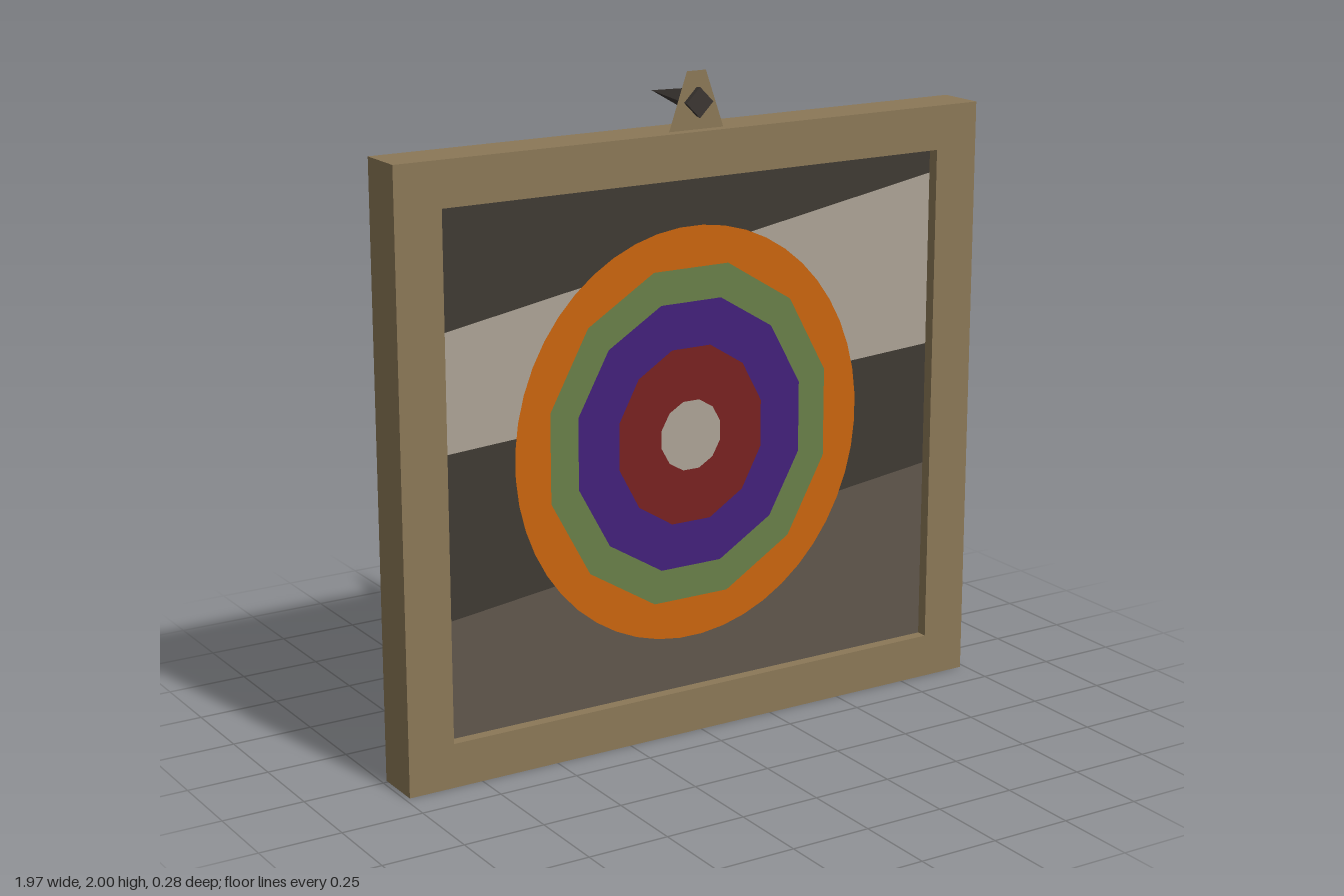
import * as THREE from 'three';

const mat = (name, color) => {
  const m = new THREE.MeshStandardMaterial({ color, side: THREE.DoubleSide });
  m.name = name;
  return m;
};

export function createModel() {
  const wood = mat('wood', 0x8b7857);
  const dark = mat('charcoal paint', 0x3f3a33);
  const pale = mat('pale paint', 0xaca395);
  const stone = mat('stone paint', 0x60574c);
  const orange = mat('orange paint', 0xca650e);
  const green = mat('green paint', 0x687f48);
  const purple = mat('purple paint', 0x42207a);
  const red = mat('red paint', 0x782120);
  const iron = mat('iron', 0x3b3632);

  const model = new THREE.Group();
  model.name = 'hangingPicture';
  const add = (name, geometry, material, x = 0, y = 0, z = 0, parent = model) => {
    const mesh = new THREE.Mesh(geometry, material);
    mesh.name = name;
    mesh.position.set(x, y, z);
    parent.add(mesh);
    return mesh;
  };
  const polygon = (pts) => new THREE.Shape(pts.map(([x, y]) => new THREE.Vector2(x, y)));
  const rect = (w, h) => polygon([[-w, -h], [w, -h], [w, h], [-w, h]]);

  const W = 0.985, H = 0.915;        // outer half size
  const w = 0.84, h = 0.78;          // opening half size
  const front = 0.14, back = -0.01, canvasZ = 0.105;

  // Frame: flat face with an opening, open at the back
  const frame = new THREE.Group();
  frame.name = 'frame';
  frame.position.y = H;
  model.add(frame);
  const face = rect(W, H);
  face.holes.push(rect(w, h));
  add('frameFace', new THREE.ShapeGeometry(face), wood, 0, 0, front, frame);

  // Four thin walls around a rectangle, running from z0 to the face
  const walls = (name, hw, hh, z0) => {
    for (let i = 0; i < 4; i++) {
      const [half, dist] = i % 2 ? [hh, hw] : [hw, hh];
      const g = new THREE.PlaneGeometry(half * 2, front - z0)
        .rotateX(-Math.PI / 2)
        .translate(0, dist, (front + z0) / 2)
        .rotateZ(i * Math.PI / 2);
      add(name + i, g, wood, 0, 0, 0, frame);
    }
  };
  walls('outerWall', W, H, back);
  walls('openingWall', w, h, canvasZ);

  // Canvas: four slanting bands, each edge given as [left y, right y]
  const edges = [[0.135, 0.135], [0.49, 0.7], [0.985, 1.085], [1.335, 1.62], [1.695, 1.695]];
  [stone, dark, pale, dark].forEach((m, i) => {
    const [a, b] = [edges[i], edges[i + 1]];
    const band = polygon([[-w, a[0]], [w, a[1]], [w, b[1]], [-w, b[0]]]);
    add('canvasBand' + i, new THREE.ShapeGeometry(band), m, 0, 0, canvasZ);
  });

  // Target: nested rings [name, half width, half height, sides, material], on both faces
  const rings = [
    ['orangeRing', 0.59, 0.628, 48, orange],
    ['greenRing', 0.475, 0.505, 12, green],
    ['purpleRing', 0.383, 0.404, 12, purple],
    ['redRing', 0.246, 0.266, 12, red],
    ['bullseye', 0.102, 0.105, 12, pale],
  ];
  const outline = ([, rx, ry, n]) => polygon(Array.from({ length: n }, (_, i) => {
    const t = (i + 0.5) / n * Math.PI * 2, k = 1 / Math.cos(Math.PI / n);
    return [rx * k * Math.cos(t), ry * k * Math.sin(t)];
  }));
  rings.forEach((ring, i) => {
    const shape = outline(ring);
    if (rings[i + 1]) shape.holes.push(outline(rings[i + 1]));
    const g = new THREE.ShapeGeometry(shape);
    for (const dz of [0.003, -0.003]) {
      add(ring[0] + (dz > 0 ? 'Front' : 'Back'), g, ring[4], -0.018, 0.922, canvasZ + dz);
    }
  });

  // Hanger plate above the frame
  const plate = polygon([[-0.092, 1.83], [0.092, 1.83], [0.032, 2], [-0.032, 2]]);
  add('hangerPlate', new THREE.ShapeGeometry(plate), wood, 0, 0, canvasZ);

  // Four-sided nail pointing backwards through the hanger
  const nail = new THREE.ConeGeometry(0.045, 0.265, 4).toNonIndexed();
  nail.computeVertexNormals();
  nail.rotateX(-Math.PI / 2);
  add('nail', nail, iron, 0, 1.91, -0.0075);

  return model;
}
